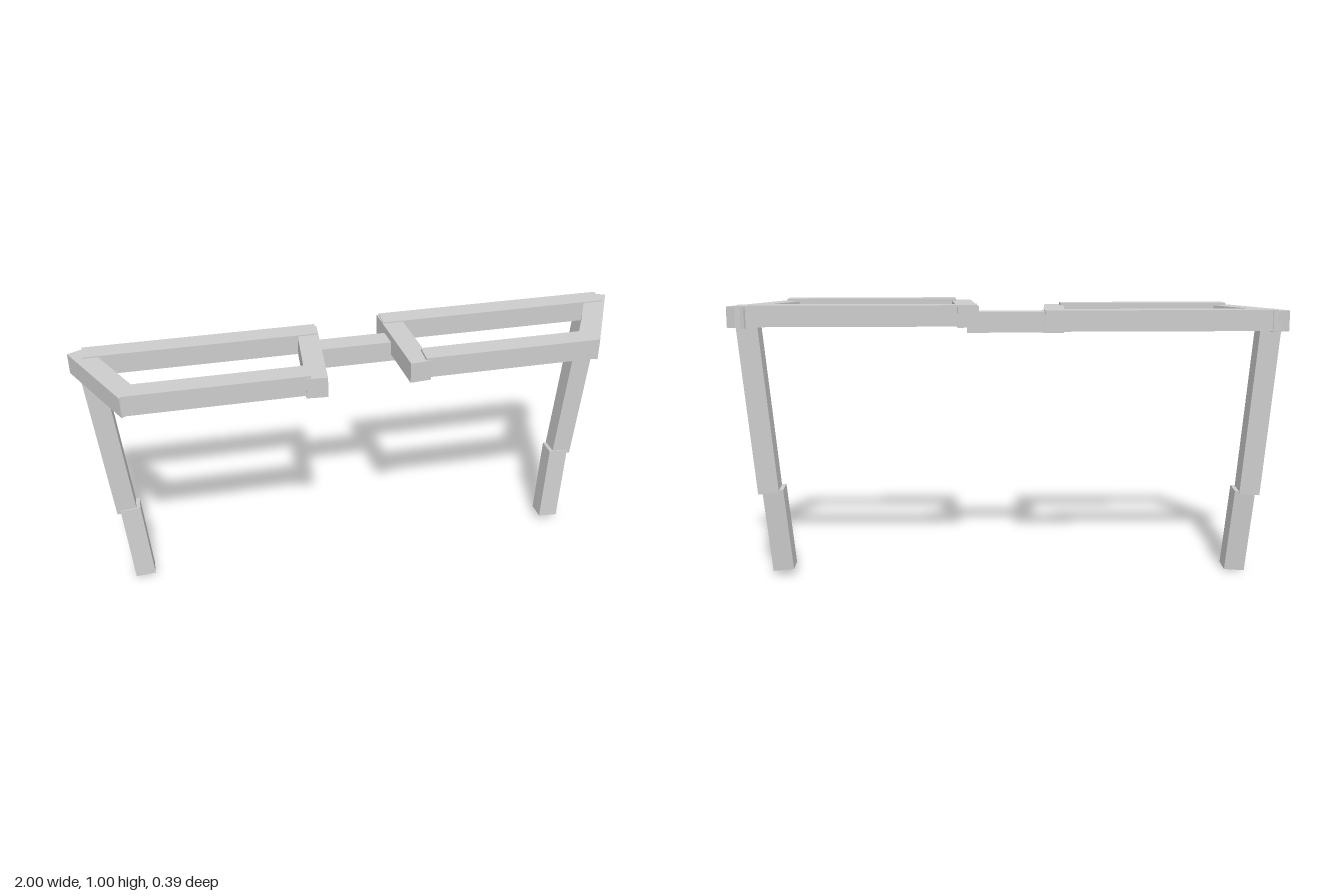
import * as THREE from 'three';

const T = 0.075; // bar thickness
const material = new THREE.MeshStandardMaterial({ color: 0xcccccc, flatShading: true });

// Square bar running between two end points
function bar(name, from, to, up = [0, 1, 0]) {
  const a = new THREE.Vector3(...from), b = new THREE.Vector3(...to);
  const mesh = new THREE.Mesh(new THREE.BoxGeometry(T, T, a.distanceTo(b)), material);
  mesh.name = name;
  mesh.up.set(...up);
  mesh.position.copy(a).add(b).multiplyScalar(0.5);
  mesh.lookAt(b);
  return mesh;
}

// One lens rim with its folded two-piece temple; s is the side, d the height shift
function side(name, s, d, dx, backZ) {
  const g = new THREE.Group();
  g.name = name;
  const Z = [0, 0, 1];
  g.add(
    bar('backRimBar', [s * 0.12, 0.941 + d, backZ], [s * (0.95 + dx), 0.941 + d, backZ]),
    bar('frontRimBar', [s * 0.2, 0.946 + d, 0.145], [s * 0.83, 0.946 + d, 0.145]),
    bar('innerRimBar', [s * 0.15, 0.937 + d, -0.19], [s * 0.181, 0.937 + d, 0.188]),
    bar('outerRimBar', [s * 0.966, 0.937 + d, -0.181], [s * 0.801, 0.937 + d, 0.159]),
    bar('upperTemple', [s * 0.929, 0.93 + d, -0.148], [s * 0.875, 0.303 + d, -0.148], Z),
    bar('lowerTemple', [s * 0.861, 0.315 + d, -0.142], [s * 0.837, 0.009 + d, -0.118], Z),
  );
  return g;
}

export function createModel() {
  const model = new THREE.Group();
  model.name = 'glassesFrame';
  model.add(
    side('rightSide', -1, 0, 0, -0.158),
    side('leftSide', 1, 0.019, 0.015, -0.153),
    bar('bridge', [-0.14, 0.929, -0.058], [0.155, 0.929, -0.058]),
  );
  return model;
}
